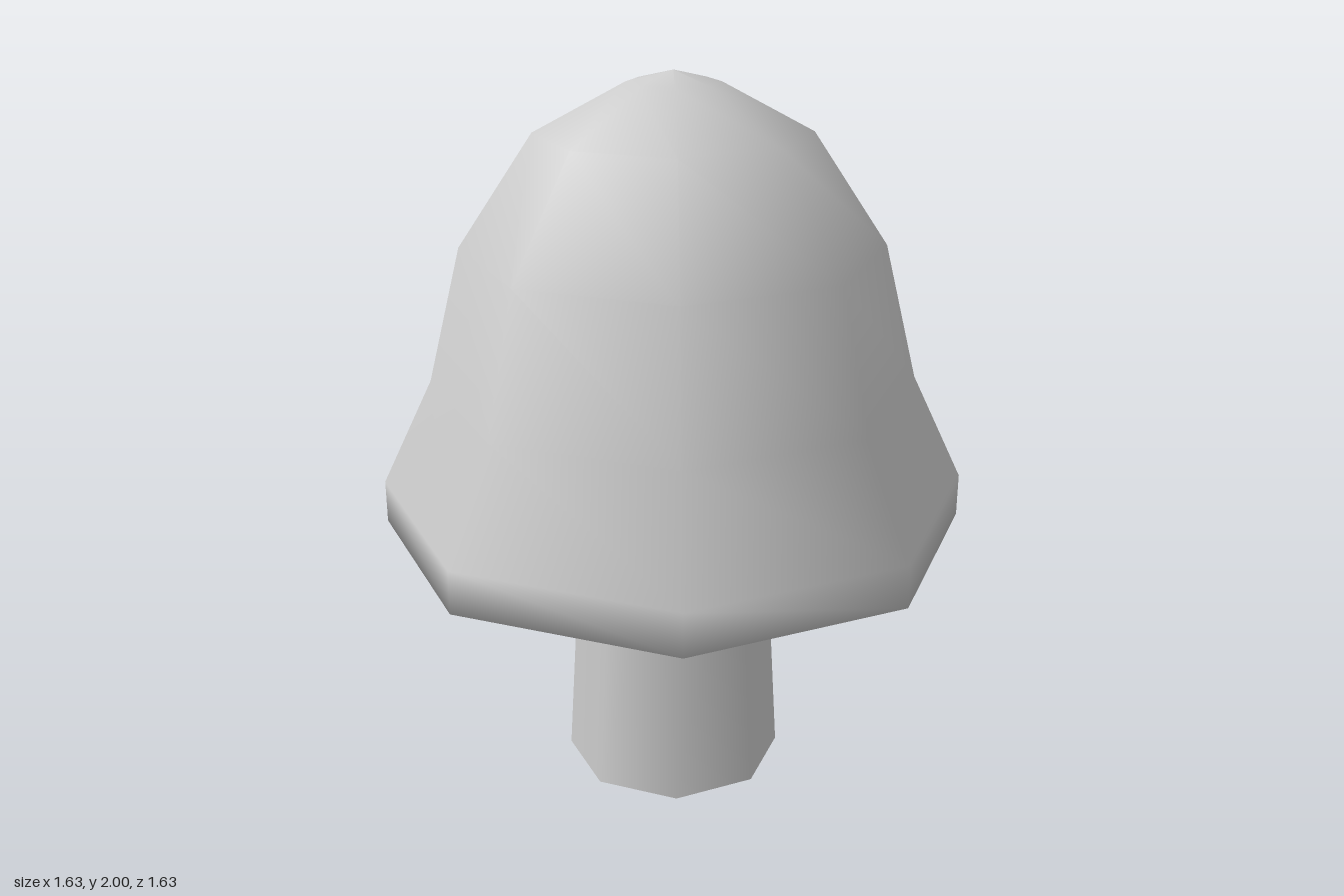
import * as THREE from 'three';

const SIDES = 8;

export function createModel() {
  const model = new THREE.Group();
  const material = new THREE.MeshStandardMaterial({ color: 0xcccccc });

  // Tapered stem, running up into the hollow of the cap
  const stemHeight = 0.95;
  const stem = new THREE.Mesh(new THREE.CylinderGeometry(0.253, 0.31, stemHeight, SIDES), material);
  stem.name = 'stem';
  stem.position.y = stemHeight / 2;
  model.add(stem);

  // Bell-shaped cap: hollow underside, rolled rim, then the outside up to the tip
  const profile = [
    [0.25, 0.9], [0.5, 0.84], [0.58, 0.7],
    [0.625, 0.67], [0.815, 0.74], [0.815, 0.86],
    [0.67, 1.16], [0.575, 1.535], [0.37, 1.84], [0.125, 1.97], [0, 2],
  ].map(([r, y]) => new THREE.Vector2(r, y));
  const cap = new THREE.Mesh(new THREE.LatheGeometry(profile, SIDES), material);
  cap.name = 'cap';
  model.add(cap);

  return model;
}
